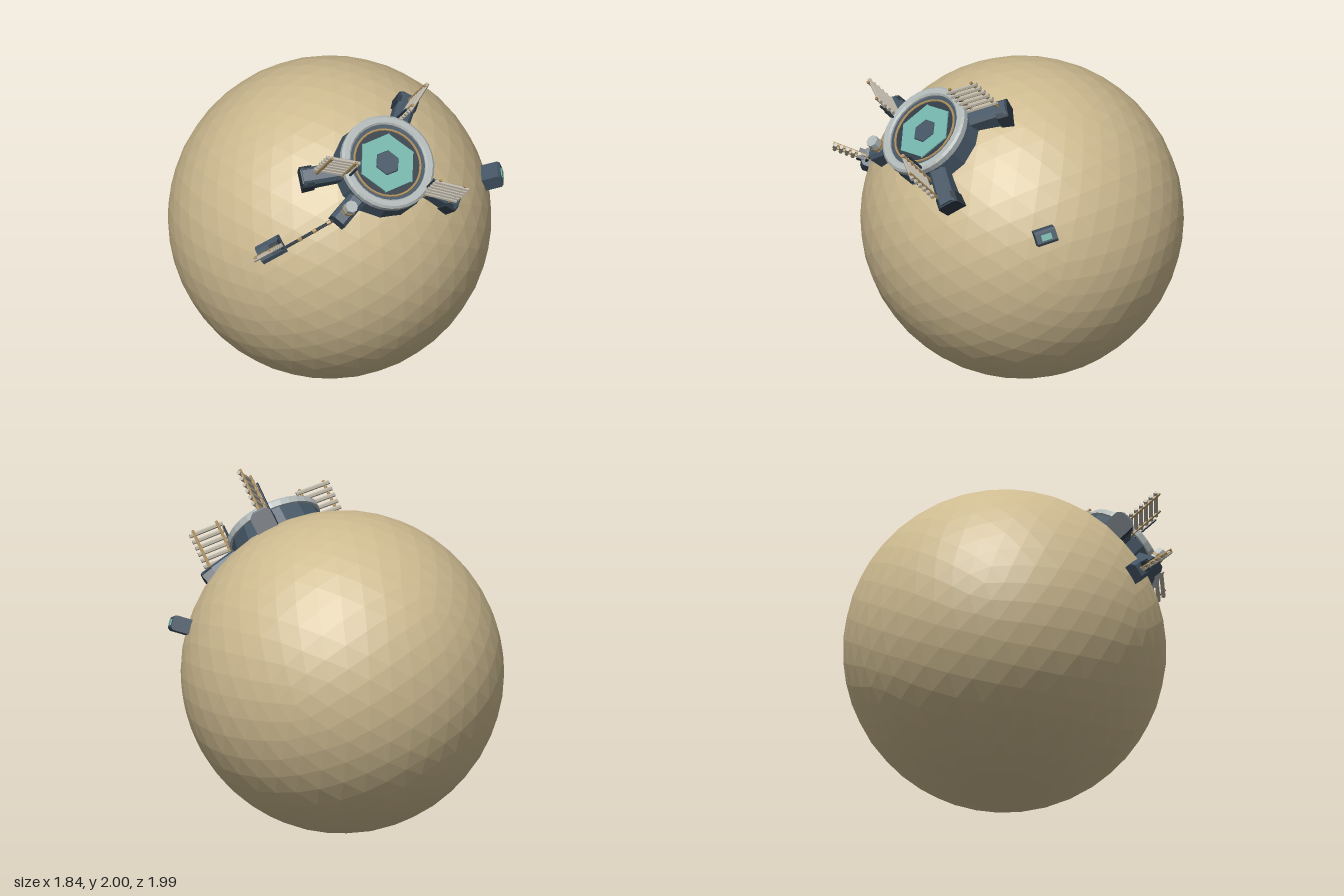
import * as THREE from 'three';

const mat = (name, color, extra = {}) => {
  const m = new THREE.MeshStandardMaterial({ color, flatShading: true, ...extra });
  m.name = name;
  return m;
};

export function createModel() {
  const sand = mat('sand', 0xcdba90), slate = mat('slate', 0x435463), dark = mat('dark slate', 0x2e3a45),
    grey = mat('light grey', 0xb0b7b7), teal = mat('teal', 0x72b3a9),
    bronze = mat('bronze', 0xa88a58), pale = mat('pale rung', 0xb9b3a5);
  const model = new THREE.Group();
  const C = new THREE.Vector3(0.01, 0.91, -0.08), R = 0.907;

  const add = (parent, name, geo, m, x = 0, y = 0, z = 0) => {
    const mesh = new THREE.Mesh(geo, m);
    mesh.name = name;
    mesh.position.set(x, y, z);
    parent.add(mesh);
    return mesh;
  };
  const box = (w, h, d) => new THREE.BoxGeometry(w, h, d);
  const cyl = (r1, r2, h, n) => new THREE.CylinderGeometry(r1, r2, h, n);

  // Group at the globe's centre whose y axis points out along a surface normal
  const site = (name, normal, hint) => {
    const g = new THREE.Group();
    const y = new THREE.Vector3(...normal).normalize();
    const x = new THREE.Vector3(...hint);
    x.addScaledVector(y, -x.dot(y)).normalize();
    g.quaternion.setFromRotationMatrix(new THREE.Matrix4().makeBasis(x, y, x.clone().cross(y)));
    g.position.copy(C);
    g.name = name;
    model.add(g);
    return g;
  };

  // Box with chamfered long edges, running along x
  const chamferBox = (len, h, w, c) => {
    const s = new THREE.Shape();
    s.moveTo(-w / 2, -h / 2);
    s.lineTo(w / 2, -h / 2);
    s.lineTo(w / 2, h / 2 - c);
    s.lineTo(w / 2 - c, h / 2);
    s.lineTo(-w / 2 + c, h / 2);
    s.lineTo(-w / 2, h / 2 - c);
    s.closePath();
    return new THREE.ExtrudeGeometry(s, { depth: len, bevelEnabled: false }).translate(0, 0, -len / 2).rotateY(Math.PI / 2);
  };

  // Rack of round rungs across two rails; rungs run along x, rails along y
  const rack = (parent, width, height, count) => {
    const g = new THREE.Group();
    g.name = 'rungRack';
    for (const s of [-1, 1]) add(g, 'rail', cyl(0.009, 0.009, height, 6), bronze, s * width * 0.36, height / 2, 0);
    for (let i = 0; i < count; i++) {
      const rung = add(g, 'rung', cyl(0.012, 0.012, width, 6), pale, 0, height * (0.2 + 0.72 * i / (count - 1)), 0.008);
      rung.rotation.z = Math.PI / 2;
    }
    parent.add(g);
    return g;
  };

  // Globe
  add(model, 'globe', new THREE.IcosahedronGeometry(R, 7), sand, C.x, C.y, C.z);

  // Main station drum and stepped rim
  const station = site('station', [-0.09, 0.72, 0.69], [1, 0, 0]);
  add(station, 'drum', cyl(0.262, 0.285, 0.15, 14), slate, 0, 0.905, 0);
  const rim = [[0.222, 0.975], [0.222, 1.008], [0.232, 1.018], [0.262, 1.018], [0.275, 1.006], [0.275, 0.972], [0.222, 0.972]]
    .map(p => new THREE.Vector2(...p)).reverse();
  const rimMat = grey.clone();
  rimMat.side = THREE.DoubleSide;
  add(station, 'rim', new THREE.LatheGeometry(rim, 32), rimMat);
  add(station, 'innerStep', new THREE.RingGeometry(0.2, 0.224, 32).rotateX(-Math.PI / 2), slate, 0, 0.996, 0);
  add(station, 'innerRing', new THREE.TorusGeometry(0.196, 0.007, 6, 32).rotateX(Math.PI / 2), bronze, 0, 0.996, 0);
  add(station, 'floor', cyl(0.222, 0.222, 0.012, 32), dark, 0, 0.983, 0);

  // Hexagonal hatch: six teal petals round a dark hub
  for (let i = 0; i < 6; i++) {
    const a = i * Math.PI / 3, b = a + Math.PI / 3;
    const s = new THREE.Shape();
    s.moveTo(0.075 * Math.cos(a), 0.075 * Math.sin(a));
    s.lineTo(0.177 * Math.cos(a), 0.177 * Math.sin(a));
    s.lineTo(0.170 * Math.cos(b), 0.170 * Math.sin(b));
    s.lineTo(0.075 * Math.cos(b), 0.075 * Math.sin(b));
    add(station, 'hatchPetal', new THREE.ExtrudeGeometry(s, { depth: 0.009, bevelEnabled: false }).rotateX(-Math.PI / 2), teal, 0, 0.988, 0);
  }
  add(station, 'hatchHub', cyl(0.07, 0.077, 0.014, 6).rotateY(Math.PI / 6), slate, 0, 0.994, 0);

  // Three outrigger legs, each carrying a rack: [leg angle, rack angle, rack radius, rung angle]
  const deg = Math.PI / 180;
  for (const [legA, rackA, r, rungA] of [[43, 45, 0.37, 33], [-43, -51, 0.355, -34], [166, 169, 0.335, 150]]) {
    const arm = new THREE.Group();
    arm.name = 'legArm';
    arm.rotation.y = legA * deg;
    station.add(arm);
    const leg = add(arm, 'leg', chamferBox(0.25, 0.13, 0.105, 0.02), slate, 0.345, 0.868, 0);
    leg.rotation.z = -0.2;
    const foot = add(arm, 'legFoot', chamferBox(0.07, 0.14, 0.125, 0.02), dark, 0.435, 0.835, 0);
    foot.rotation.z = -0.25;
    const rk = rack(station, 0.2, 0.29, 6);
    rk.position.set(r * Math.cos(rackA * deg), 0.905, -r * Math.sin(rackA * deg));
    rk.rotation.y = rungA * deg;
    add(rk, 'post', cyl(0.007, 0.007, 0.2, 6), dark, -0.095, 0.14, -0.012);
  }

  // Small side leg with a storage canister
  const dock = new THREE.Group();
  dock.name = 'dock';
  dock.rotation.y = 207 * deg;
  station.add(dock);
  add(dock, 'dockLeg', chamferBox(0.17, 0.13, 0.1, 0.02), slate, 0.335, 0.865, 0).rotation.z = -0.2;
  add(dock, 'canister', cyl(0.036, 0.036, 0.075, 8), grey, 0.355, 0.965, 0);
  add(dock, 'canisterBand', cyl(0.039, 0.039, 0.018, 8), bronze, 0.355, 0.95, 0);

  // Outpost with its own rack
  const outpost = site('outpost', [-0.79, 0.31, 0.53], [0.53, 0.6, 0.6]);
  add(outpost, 'outpostBase', chamferBox(0.15, 0.1, 0.11, 0.02), slate, -0.02, 0.905, 0);
  add(outpost, 'outpostBlock', box(0.06, 0.04, 0.06), dark, 0.03, 0.965, 0);
  rack(outpost, 0.135, 0.2, 5).position.set(0.005, 0.935, 0);

  // Cable between station and outpost, hugging the globe
  const from = new THREE.Vector3(-0.40, 1.41, 0.63).sub(C), to = new THREE.Vector3(-0.67, 1.21, 0.46).sub(C);
  const pts = [0, 0.25, 0.5, 0.75, 1].map(t => from.clone().lerp(to, t).setLength(0.928).add(C));
  const curve = new THREE.CatmullRomCurve3(pts);
  add(model, 'cable', new THREE.TubeGeometry(curve, 16, 0.009, 6), dark);
  for (const t of [0.25, 0.5, 0.75]) {
    const p = curve.getPoint(t);
    const clip = add(model, 'cableClip', cyl(0.013, 0.013, 0.024, 6), bronze, p.x, p.y, p.z);
    clip.quaternion.setFromUnitVectors(new THREE.Vector3(0, 1, 0), curve.getTangent(t));
  }

  // Lone beacon box with a teal window on its outer face
  const beacon = site('beacon', [0.755, 0.295, 0.57], [0.65, 0.3, -0.7]);
  add(beacon, 'beaconBody', chamferBox(0.12, 0.13, 0.085, 0.014), slate, 0, 0.945, 0);
  add(beacon, 'beaconWindow', box(0.06, 0.008, 0.035), teal, 0, 1.012, 0);

  return model;
}
